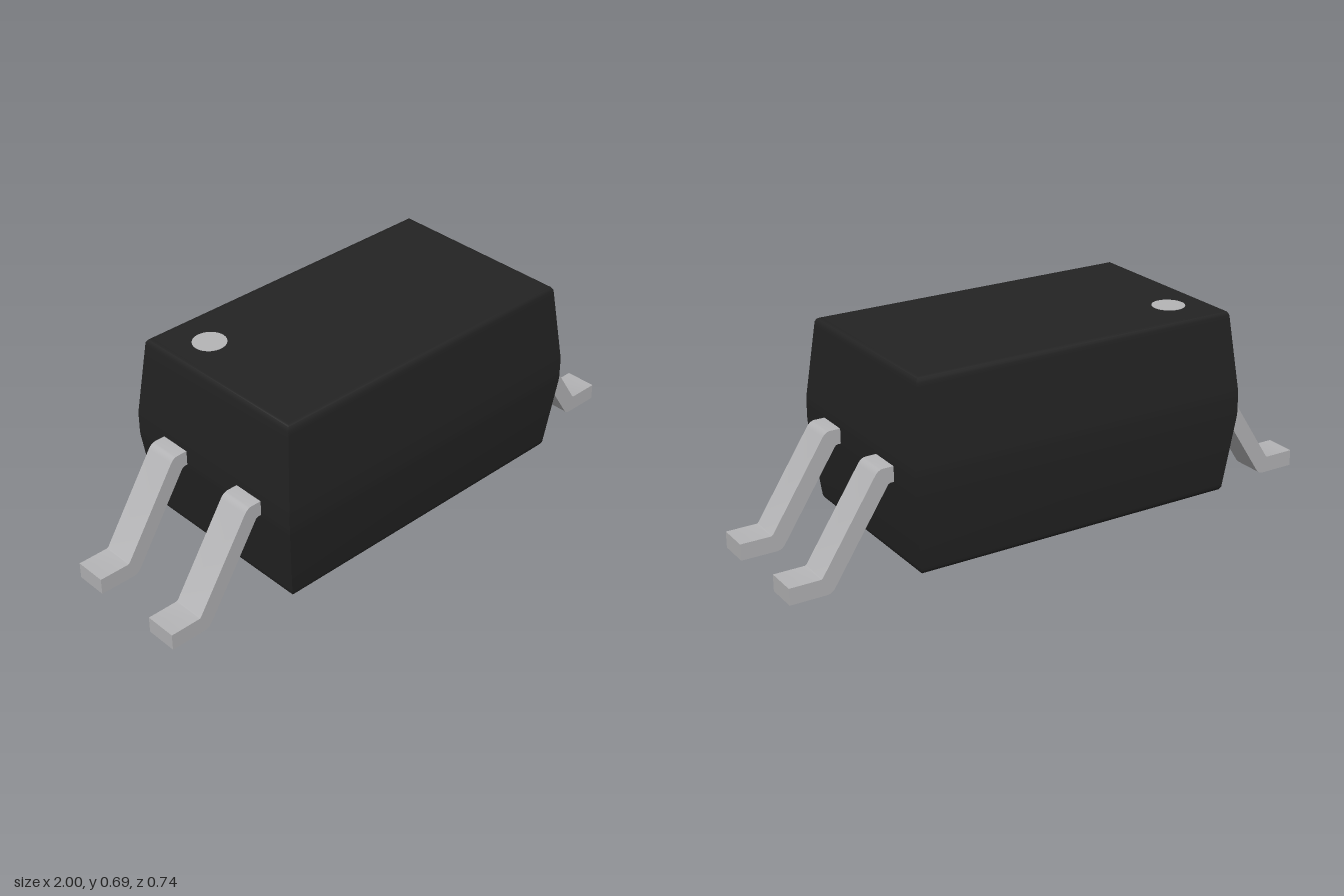
import * as THREE from 'three';
import { toCreasedNormals } from 'three/addons/utils/BufferGeometryUtils.js';

const MID_Y = 0.3645, HALF_X = 0.627, HALF_Z = 0.372;

// Rectangular rings stacked from bottom to top, closed with flat caps
function bodyGeometry() {
  // [distance from mid height, inset from the widest outline]
  const half = [[0.02, 0], [0.035, 0], [0.05, 0.001], [0.3, 0.0285], [0.313, 0.03],
    [0.319, 0.0325], [0.325, 0.037], [0.328, 0.043], [0.328, 0.053]];
  const rings = [...half.map(([t, d]) => [-t, d]).reverse(), ...half];
  const pos = [], index = [];
  for (const [t, d] of rings) {
    const x = HALF_X - d, z = HALF_Z - d, y = MID_Y + t;
    pos.push(-x, y, z, x, y, z, x, y, -z, -x, y, -z);
  }
  for (let r = 0; r < rings.length - 1; r++) {
    for (let i = 0; i < 4; i++) {
      const a = r * 4 + i, b = r * 4 + (i + 1) % 4;
      index.push(a, b, b + 4, a, b + 4, a + 4);
    }
  }
  const top = (rings.length - 1) * 4;
  index.push(0, 2, 1, 0, 3, 2, top, top + 1, top + 2, top, top + 2, top + 3);
  const geo = new THREE.BufferGeometry();
  geo.setAttribute('position', new THREE.Float32BufferAttribute(pos, 3));
  geo.setIndex(index);
  return toCreasedNormals(geo, 0.7);
}

// Bent strip: shoulder, sloping leg and flat foot, with rounded bends
function leadGeometry() {
  const s = new THREE.Shape();
  s.moveTo(0.6, 0.325);
  s.lineTo(0.636, 0.325);
  s.quadraticCurveTo(0.645, 0.325, 0.65, 0.317);
  s.lineTo(0.843, 0.018);
  s.quadraticCurveTo(0.855, 0, 0.872, 0);
  s.lineTo(1, 0);
  s.lineTo(1, 0.058);
  s.lineTo(0.893, 0.058);
  s.quadraticCurveTo(0.887, 0.058, 0.883, 0.064);
  s.lineTo(0.692, 0.36);
  s.quadraticCurveTo(0.68, 0.378, 0.663, 0.378);
  s.lineTo(0.6, 0.378);
  s.closePath();
  const width = 0.114;
  const geo = new THREE.ExtrudeGeometry(s, { depth: width, bevelEnabled: false, curveSegments: 5 });
  geo.translate(0, 0, -width / 2);
  return toCreasedNormals(geo, 0.6);
}

export function createModel() {
  const plastic = new THREE.MeshStandardMaterial({ color: 0x232323 });
  plastic.name = 'black plastic';
  const metal = new THREE.MeshStandardMaterial({ color: 0xb4b4b6 });
  metal.name = 'silver metal';

  const group = new THREE.Group();
  group.name = 'chipPackage';
  const add = (name, geo, mat) => {
    const mesh = new THREE.Mesh(geo, mat);
    mesh.name = name;
    group.add(mesh);
    return mesh;
  };

  add('body', bodyGeometry(), plastic);

  // Pin-one dot on the top face
  add('pinMarker', new THREE.CylinderGeometry(0.057, 0.057, 0.004, 40), metal)
    .position.set(-0.46, 0.692, -0.186);

  // Two leads on each side
  const lead = leadGeometry();
  for (const side of [1, -1]) {
    for (const end of [1, -1]) {
      const mesh = add(`${side > 0 ? 'left' : 'right'}${end > 0 ? 'Front' : 'Back'}Lead`, lead, metal);
      mesh.position.z = end * 0.181;
      if (side < 0) mesh.rotation.y = Math.PI;
    }
  }
  return group;
}
